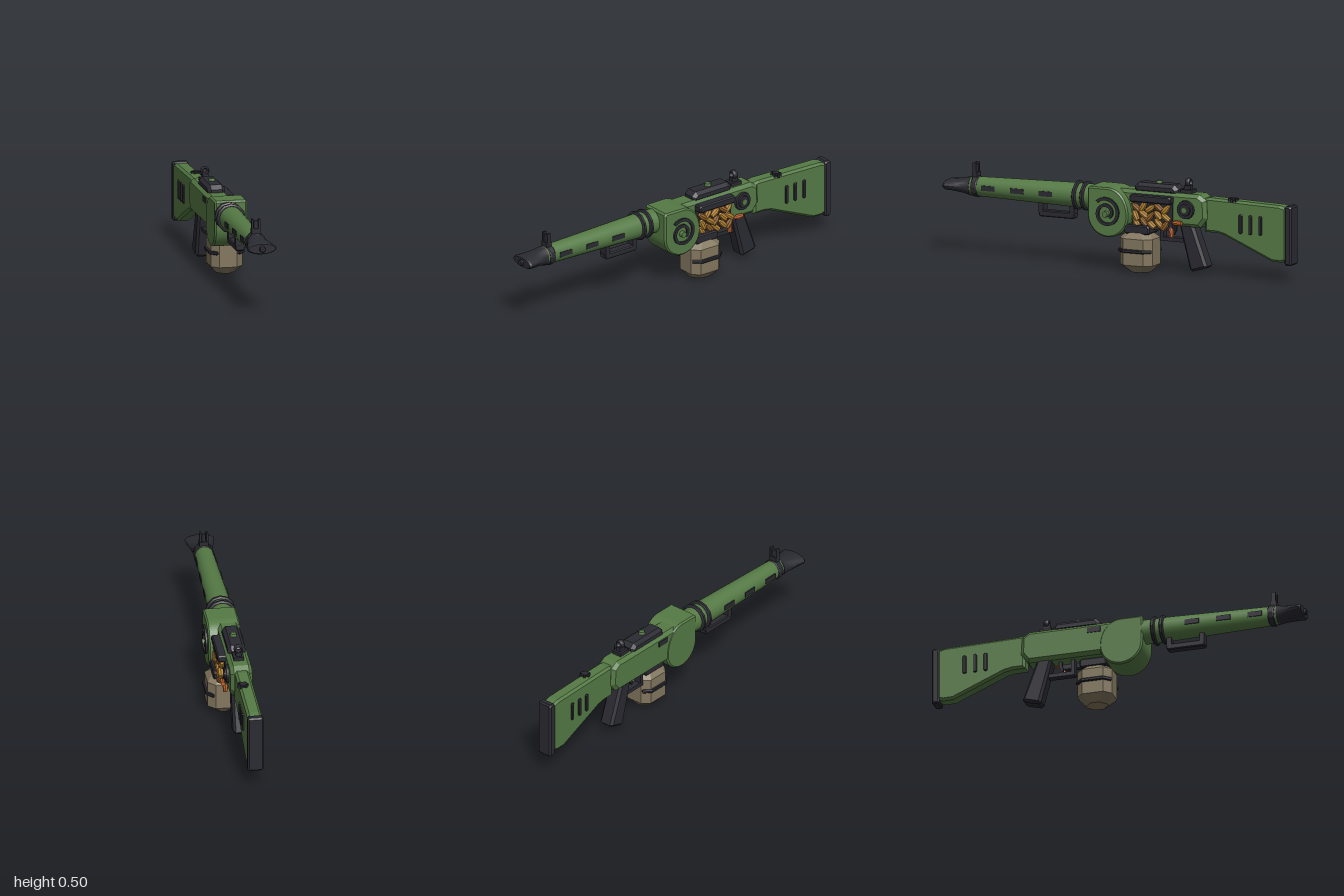
import * as THREE from 'three';
import { toCreasedNormals } from 'three/addons/utils/BufferGeometryUtils.js';

const CX = -0.031, CY = 0.36; // barrel axis

export function createModel() {
  const model = new THREE.Group();
  const mat = (name, color) => {
    const m = new THREE.MeshStandardMaterial({ color });
    m.name = name;
    return m;
  };
  const green = mat('green', 0x557a45);
  const dark = mat('charcoal', 0x2a2a32);
  const tan = mat('tan', 0x82765e);
  const gold = mat('brass', 0xb4822f);
  const brown = mat('bronze', 0x8f5f28);
  const copper = mat('copper', 0xc2642c);

  const add = (name, geo, material, x = 0, y = 0, z = 0) => {
    const m = new THREE.Mesh(geo, material);
    m.name = name;
    m.position.set(x, y, z);
    model.add(m);
    return m;
  };
  const box = (name, material, x0, x1, y0, y1, z0, z1) =>
    add(name, new THREE.BoxGeometry(x1 - x0, y1 - y0, z1 - z0), material,
      (x0 + x1) / 2, (y0 + y1) / 2, (z0 + z1) / 2);

  // Side outline of [z, y] points, extruded from x0 to x1 with chamfered edges
  const outline = pts => new THREE.Shape(pts.map(([z, y]) => new THREE.Vector2(-z, y)));
  const slab = (name, material, shape, x0, x1, bevel = 0) => {
    const geo = new THREE.ExtrudeGeometry(shape, {
      depth: x1 - x0 - 2 * bevel, bevelEnabled: bevel > 0, bevelThickness: bevel,
      bevelSize: bevel, bevelOffset: -bevel, bevelSegments: 1, curveSegments: 16,
    });
    geo.translate(0, 0, bevel).rotateY(Math.PI / 2);
    return add(name, geo, material, x0);
  };
  const rect = (z0, z1, y0, y1, c = 0) => outline(c
    ? [[z0, y0 + c], [z0, y1 - c], [z0 + c, y1], [z1 - c, y1], [z1, y1 - c], [z1, y0 + c], [z1 - c, y0], [z0 + c, y0]]
    : [[z0, y0], [z0, y1], [z1, y1], [z1, y0]]);

  // Elliptical cross-sections [z, rx, ry] joined along z
  const loft = (sections, n) => {
    const pos = [], idx = [];
    for (const [z, rx, ry] of sections)
      for (let i = 0; i < n; i++) {
        const a = (i / n) * Math.PI * 2;
        pos.push(rx * Math.cos(a), ry * Math.sin(a), z);
      }
    for (let s = 0; s < sections.length - 1; s++)
      for (let i = 0; i < n; i++) {
        const j = (i + 1) % n, a = s * n + i, b = s * n + j;
        idx.push(a, b, b + n, a, b + n, a + n);
      }
    const g = new THREE.BufferGeometry();
    g.setAttribute('position', new THREE.Float32BufferAttribute(pos, 3));
    g.setIndex(idx);
    return toCreasedNormals(g, 0.5);
  };

  // Barrel with collars
  add('barrel', loft([[0.1, 0.062, 0.064], [0.26, 0.062, 0.064], [0.855, 0.047, 0.05]], 24), green, CX, CY);
  for (const z of [0.19, 0.236])
    add('barrelRing', loft([[-0.011, 0.05, 0.05], [-0.011, 0.069, 0.069], [-0.006, 0.077, 0.077],
      [0.006, 0.077, 0.077], [0.011, 0.069, 0.069], [0.011, 0.05, 0.05]], 12), dark, CX, CY, z);
  add('muzzleCollar', loft([[0.803, 0.04, 0.04], [0.803, 0.052, 0.052], [0.808, 0.055, 0.056], [0.831, 0.055, 0.056],
    [0.836, 0.052, 0.052], [0.836, 0.03, 0.03]], 12), dark, CX, CY);

  // Flared flat muzzle and nozzle tip
  add('muzzle', loft([[0.847, 0.03, 0.03], [0.847, 0.051, 0.052], [0.87, 0.053, 0.045], [0.905, 0.062, 0.037], [0.945, 0.073, 0.031],
    [0.975, 0.077, 0.03], [0.985, 0.07, 0.025], [0.985, 0.001, 0.001]], 20), dark, CX, CY);
  add('muzzleTip', loft([[0.96, 0.016, 0.016], [0.997, 0.016, 0.016], [1, 0.013, 0.013], [1, 0.001, 0.001]], 16), dark, CX, CY);

  // Vents on both sides of the barrel
  for (const s of [-1, 1])
    for (const z of [0.735, 0.567, 0.4]) {
      const x = CX + s * (0.0475 + (0.855 - z) * 0.0252);
      box('barrelVent', dark, x - 0.006, x + 0.006 - 0.004 * (s > 0), 0.347, 0.374, z - 0.038, z + 0.038)
        .position.x = x - s * 0.003;
    }

  // Hand rail under the barrel
  slab('handRail', dark, rect(0.253, 0.457, 0.235, 0.268, 0.007), CX - 0.024, CX + 0.024, 0.005);
  for (const z of [0.267, 0.443]) box('handRailLeg', dark, CX - 0.024, CX + 0.024, 0.255, 0.315, z - 0.013, z + 0.013);

  // Front sight
  box('frontSightBase', dark, CX - 0.023, CX + 0.023, 0.4, 0.435, 0.81, 0.84);
  for (const dx of [-0.018, 0.018])
    box('frontSightWing', dark, CX + dx - 0.005, CX + dx + 0.005, 0.43, 0.484, 0.815, 0.837);
  box('frontSightPost', dark, CX - 0.01, CX + 0.01, 0.43, 0.475, 0.818, 0.834);

  // Snail-shaped drum housing: half round below, squared at the upper front
  const snail = new THREE.Shape();
  snail.moveTo(-0.136, 0.288);
  snail.lineTo(-0.136, 0.42);
  snail.lineTo(-0.126, 0.43);
  snail.lineTo(-0.02, 0.43);
  snail.bezierCurveTo(0.045, 0.43, 0.095, 0.37, 0.095, 0.288);
  snail.absarc(-0.0205, 0.288, 0.1155, 0, -Math.PI, true);
  slab('drumHousing', green, snail, -0.093, 0.076, 0.008);

  // Raised spiral and hub on the drum
  const outer = [], inner = [];
  for (let i = 0; i <= 44; i++) {
    const t = i / 44, a = 2.3 - t * Math.PI * 3, r = 0.086 - t * 0.05;
    const p = q => new THREE.Vector2(-0.025 + q * Math.cos(a), 0.299 + q * Math.sin(a));
    outer.push(p(r));
    inner.unshift(p(r - 0.016));
  }
  slab('drumSpiral', dark, new THREE.Shape([...outer, ...inner]), 0.07, 0.086);
  const disc = (name, material, r, x0, x1, y, z, n = 16) => {
    const g = new THREE.CylinderGeometry(r * 0.9, r, x1 - x0, n).rotateZ(-Math.PI / 2);
    return add(name, g, material, (x0 + x1) / 2, y, z);
  };
  disc('drumHub', green, 0.017, 0.07, 0.095, 0.294, 0.027);

  // Receiver
  slab('receiver', green, outline([[0.02, 0.422], [-0.475, 0.422], [-0.515, 0.395], [-0.52, 0.3],
    [-0.48, 0.25], [0.02, 0.25]]), -0.09, 0.024, 0.018);
  box('leftPort', dark, -0.094, -0.085, 0.37, 0.398, -0.16, -0.09);

  // Top cover with release button
  slab('topCover', dark, outline([[-0.1, 0.405], [-0.1, 0.438], [-0.122, 0.46], [-0.328, 0.46], [-0.35, 0.438], [-0.35, 0.405]]),
    -0.078, 0.014, 0.017);
  add('coverButton', new THREE.CylinderGeometry(0.015, 0.019, 0.016, 10), green, CX, 0.465, -0.225);

  // Rear ring sight
  box('rearSightBase', dark, CX - 0.027, CX + 0.027, 0.41, 0.44, -0.425, -0.36);
  box('rearSightStem', dark, CX - 0.014, CX + 0.014, 0.435, 0.462, -0.412, -0.374);
  add('rearSightRing', new THREE.TorusGeometry(0.0165, 0.007, 8, 20), dark, CX, 0.476, -0.393).scale.z = 2;

  // Feed tray on the left flank
  slab('feedTrayBack', dark, rect(-0.33, -0.1, 0.225, 0.395), 0.0, 0.03);
  slab('feedTrayLid', dark, rect(-0.335, -0.1, 0.366, 0.405, 0.008), 0.015, 0.066, 0.006);
  slab('magazineNeck', dark, rect(-0.215, -0.07, 0.2, 0.247, 0.01), -0.05, 0.07, 0.006);

  // Cartridges heaped in the tray
  const v = (x, y) => new THREE.Vector2(x, y);
  const round = (name, material, x, y, z, tilt, fat = 1) => {
    const g = new THREE.LatheGeometry([v(0, -0.03), v(0.011 * fat, -0.028), v(0.0125 * fat, 0.005), v(0.007 * fat, 0.023), v(0, 0.03)], 8);
    add(name, toCreasedNormals(g, 0.5), material, x, y, z).rotation.x = tilt;
  };
  let seed = 7;
  const rand = () => (seed = (seed * 16807) % 2147483647) / 2147483647;
  for (let row = 0; row < 3; row++)
    for (let col = 0; col < 5; col++)
      round('cartridge', (row + col * 2) % 3 === 2 ? brown : gold, 0.04 + rand() * 0.012,
        0.256 + row * 0.041 + (col % 2) * 0.01, -0.128 - col * 0.043, (rand() < 0.3 ? -1 : 1) * (0.4 + rand() * 0.6), 1.35);

  // Loose copper cartridges
  round('ejectedCartridge', copper, 0.046, 0.272, -0.362, Math.PI / 2, 1.1);
  round('hangingCartridge', copper, 0.025, 0.22, -0.322, 0.05, 1.1);

  // Selector dial
  disc('dial', dark, 0.052, 0.01, 0.036, 0.342, -0.405, 16);
  disc('dialRim', dark, 0.034, 0.03, 0.044, 0.342, -0.405, 16);
  disc('dialCentre', green, 0.016, 0.04, 0.047, 0.342, -0.405, 12);

  // Box magazine: square with cut corners, narrowing at top and bottom
  const corner = (x, z) => [[x, z - 0.036], [x, -z + 0.036], [x - 0.037, -z], [-x + 0.037, -z],
    [-x, -z + 0.036], [-x, z - 0.036], [-x + 0.037, z], [x - 0.037, z]];
  const mp = [], mi = [];
  const rings = [[0, 0.046, 0.058], [0.04, 0.083, 0.093], [0.178, 0.083, 0.093], [0.208, 0.055, 0.065]];
  for (const [y, x, z] of rings) for (const [px, pz] of corner(x, z)) mp.push(px, y, pz);
  for (let s = 0; s < 3; s++)
    for (let i = 0; i < 8; i++) {
      const a = s * 8 + i, b = s * 8 + (i + 1) % 8;
      mi.push(a, b + 8, a + 8, a, b, b + 8);
    }
  for (let i = 1; i < 7; i++) mi.push(0, i + 1, i, 24, 24 + i, 24 + i + 1);
  const mg = new THREE.BufferGeometry();
  mg.setAttribute('position', new THREE.Float32BufferAttribute(mp, 3));
  mg.setIndex(mi);
  add('magazine', toCreasedNormals(mg, 0.1), tan, 0.015, 0, -0.138);

  // Clasp bands on the magazine flanks
  const band = new THREE.Shape([v(0.094, -0.058), v(0.094, 0.058), v(0.06, 0.096), v(0.05, 0.088),
    v(0.08, 0.052), v(0.08, -0.052), v(0.05, -0.088), v(0.06, -0.096)]);
  for (const turn of [0, Math.PI]) {
    const g = new THREE.ExtrudeGeometry(band, { depth: 0.01, bevelThickness: 0.004, bevelSize: 0.003, bevelOffset: -0.003, bevelSegments: 1 });
    g.translate(0, 0, -0.005).rotateX(Math.PI / 2);
    add('magazineBand', g, dark, 0.015, 0.115, -0.138).rotation.y = turn;
  }

  // Pistol grip, trigger and guard
  slab('pistolGrip', dark, outline([[-0.355, 0.265], [-0.435, 0.265], [-0.514, 0.05], [-0.502, 0.038], [-0.43, 0.018], [-0.416, 0.028]]),
    -0.074, 0.01, 0.013);
  box('triggerGuard', dark, CX - 0.02, CX + 0.02, 0.163, 0.184, -0.4, -0.24);
  box('triggerGuardFront', dark, CX - 0.02, CX + 0.02, 0.163, 0.26, -0.26, -0.24);
  slab('trigger', dark, outline([[-0.31, 0.26], [-0.33, 0.26], [-0.325, 0.22], [-0.312, 0.195], [-0.303, 0.198], [-0.31, 0.225]]),
    CX - 0.007, CX + 0.007);

  // Stock, butt pad, slots and top catch
  slab('stock', green, outline([[-0.5, 0.405], [-0.53, 0.41], [-0.93, 0.4], [-0.97, 0.39], [-0.97, 0.115],
    [-0.94, 0.104], [-0.885, 0.106], [-0.61, 0.222], [-0.57, 0.23], [-0.5, 0.23]]), -0.071, 0.004, 0.012);
  slab('buttPad', dark, rect(-1, -0.96, 0.091, 0.4, 0.008), -0.075, 0.008, 0.008);
  for (const z of [-0.71, -0.766, -0.823])
    for (const x of [-0.071, 0.004])
      slab('stockSlot', dark, rect(z - 0.009, z + 0.009, 0.238, 0.337, 0.004), x - 0.009, x + 0.009, 0.003);
  add('catchKnob', new THREE.CylinderGeometry(0.018, 0.02, 0.03, 12), dark, -0.018, 0.403, -0.658);
  for (let i = 0; i < 3; i++)
    add('catchSpoke', new THREE.BoxGeometry(0.056, 0.02, 0.013), dark, -0.018, 0.405, -0.658).rotation.y = i * Math.PI / 3;

  return model;
}
